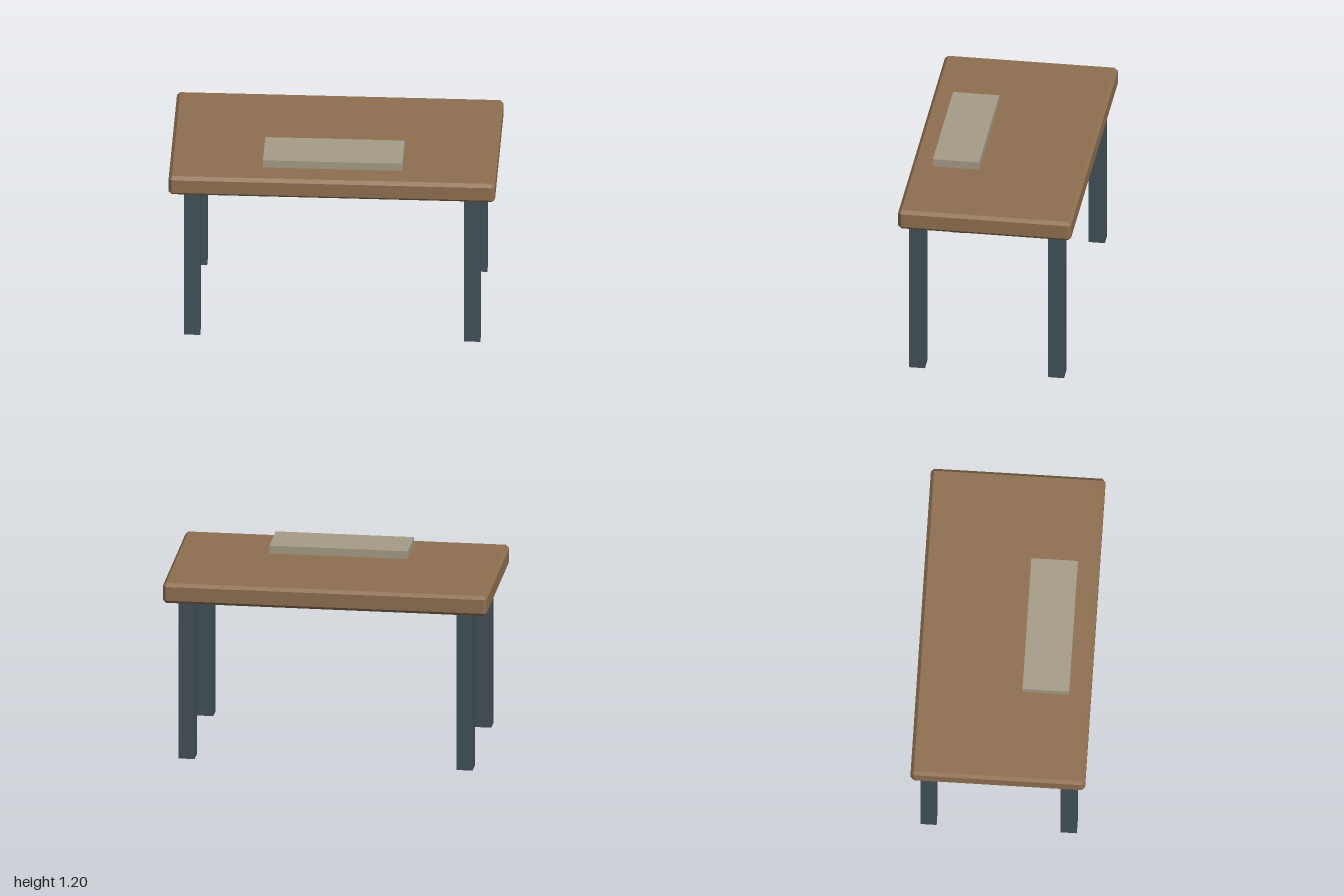
import * as THREE from 'three';
import { ConvexGeometry } from 'three/addons/geometries/ConvexGeometry.js';

// Box with every edge and corner cut flat by c
function chamferedBox(w, h, d, c) {
  const points = [];
  for (const sx of [-1, 1]) for (const sy of [-1, 1]) for (const sz of [-1, 1]) {
    const x = sx * w / 2, y = sy * h / 2, z = sz * d / 2;
    points.push(
      new THREE.Vector3(x, y - sy * c, z - sz * c),
      new THREE.Vector3(x - sx * c, y, z - sz * c),
      new THREE.Vector3(x - sx * c, y - sy * c, z),
    );
  }
  return new ConvexGeometry(points);
}

export function createModel() {
  const model = new THREE.Group();
  model.name = 'desk';

  const material = (name, color) => {
    const m = new THREE.MeshStandardMaterial({ color });
    m.name = name;
    return m;
  };
  const wood = material('brown wood', 0x8f6f50);
  const steel = material('dark slate', 0x435158);
  const pale = material('pale beige', 0xa59c87);

  const add = (name, geometry, mat, x, y, z) => {
    const mesh = new THREE.Mesh(geometry, mat);
    mesh.name = name;
    mesh.position.set(x, y, z);
    model.add(mesh);
  };

  // Bevelled top
  add('tabletop', chamferedBox(2, 0.128, 1.07, 0.02), wood, 0, 1.073, 0);

  // Four square legs
  const leg = new THREE.BoxGeometry(0.1, 1.01, 0.1);
  for (const [side, sx] of [['Left', 1], ['Right', -1]]) {
    for (const [end, sz] of [['front', 1], ['back', -1]]) {
      add(`${end}${side}Leg`, leg, steel, sx * 0.858, 0.505, sz * 0.43);
    }
  }

  // Flat slab floating just above the front half of the top
  add('keyboardSlab', new THREE.BoxGeometry(0.854, 0.05, 0.286), pale, 0, 1.173, 0.259);

  return model;
}
